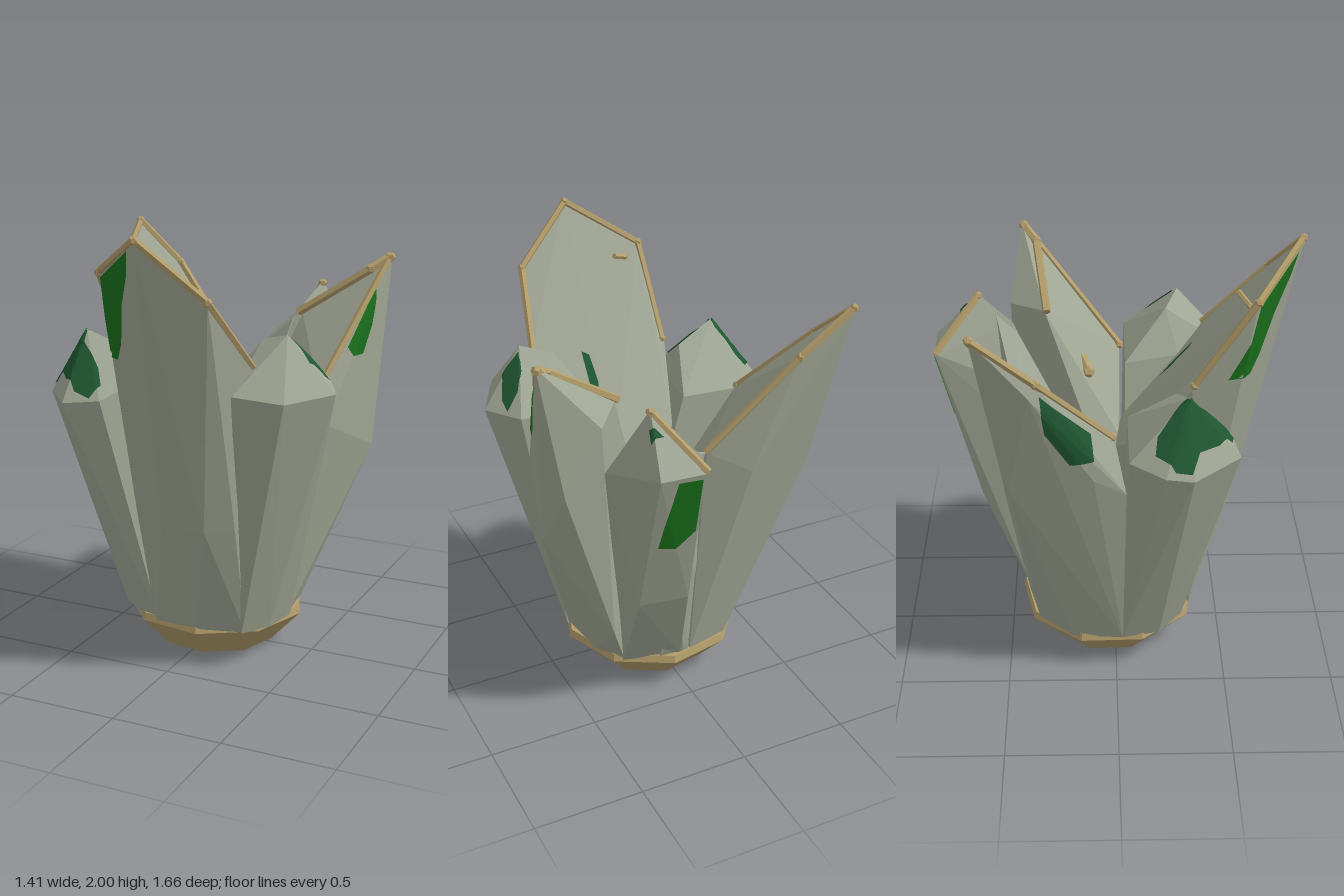
import * as THREE from 'three';
import { ConvexGeometry } from 'three/addons/geometries/ConvexGeometry.js';

const paint = (name, color, side = THREE.FrontSide) => {
  const m = new THREE.MeshStandardMaterial({ color, side });
  m.name = name;
  return m;
};
const V = (p) => new THREE.Vector3(...p);

export function createModel() {
  const stone = paint('stoneGrey', 0xa0a694);
  const trim = paint('trimTan', 0xb29c6a);
  const moss = paint('mossGreen', 0x1a701c, THREE.DoubleSide);
  const darkMoss = paint('darkMossGreen', 0x1f5730, THREE.DoubleSide);
  const group = new THREE.Group();

  const add = (name, geometry, material) => {
    const mesh = new THREE.Mesh(geometry, material);
    mesh.name = name;
    group.add(mesh);
    return mesh;
  };
  const facet = (g) => {
    const flat = g.toNonIndexed();
    flat.computeVertexNormals();
    return flat;
  };
  const lathe = (profile) => facet(new THREE.LatheGeometry(profile.map((p) => new THREE.Vector2(...p)), 9, 0.2));

  // Convex crystal, left open where it faces down into the hollow base
  const crystal = (name, points) => {
    const pos = new ConvexGeometry(points.map(V)).getAttribute('position');
    const out = [], tri = new THREE.Triangle(), n = new THREE.Vector3(), mid = new THREE.Vector3();
    for (let i = 0; i < pos.count; i += 3) {
      tri.setFromAttributeAndIndices(pos, i, i + 1, i + 2);
      tri.getNormal(n);
      tri.getMidpoint(mid);
      const underside = n.y < -0.3 && n.x * mid.x + n.z * mid.z < 0;
      if (!underside) [tri.a, tri.b, tri.c].forEach((p) => out.push(p.x, p.y, p.z));
    }
    const g = new THREE.BufferGeometry();
    g.setAttribute('position', new THREE.Float32BufferAttribute(out, 3));
    g.computeVertexNormals();
    return add(name, g, stone);
  };

  // Five-sided bars along a rim, with a knot at each inner joint
  const rim = (name, points, r = 0.017) => {
    points.map(V).forEach((b, i, all) => {
      if (i === 0) return;
      const a = all[i - 1], d = b.clone().sub(a);
      const bar = add(name, facet(new THREE.CylinderGeometry(r, r, d.length() + r, 5)), trim);
      bar.position.copy(a).addScaledVector(d, 0.5);
      bar.quaternion.setFromUnitVectors(new THREE.Vector3(0, 1, 0), d.normalize());
      const knot = add(name + 'Knot', new THREE.DodecahedronGeometry(r * 1.2), trim);
      knot.position.copy(a);
    });
  };

  // Thin painted patch: an outline dropped onto a crystal along a direction
  const patch = (name, target, material, direction, outline) => {
    const dir = V(direction), pts = outline.map(V), rings = 18;
    const centre = pts.reduce((s, p) => s.add(p), new THREE.Vector3()).divideScalar(pts.length);
    const caster = new THREE.Raycaster();
    const drop = (p) => {
      caster.set(p.clone().addScaledVector(dir, -3), dir);
      const hit = caster.intersectObject(target)[0];
      return hit && hit.point.addScaledVector(hit.face.normal, 0.006);
    };
    const edge = pts.flatMap((p, i) =>
      [0, 0.25, 0.5, 0.75].map((t) => p.clone().lerp(pts[(i + 1) % pts.length], t)));
    const grid = [];
    for (let k = 0; k <= rings; k++) grid.push(edge.map((p) => drop(centre.clone().lerp(p, k / rings))));
    const out = [];
    const tri = (...t) => t.every(Boolean) && t.forEach((p) => out.push(p.x, p.y, p.z));
    for (let k = 0; k < rings; k++) {
      edge.forEach((_, i) => {
        const j = (i + 1) % edge.length;
        tri(grid[k][i], grid[k + 1][i], grid[k + 1][j]);
        if (k) tri(grid[k][i], grid[k + 1][j], grid[k][j]);
      });
    }
    const g = new THREE.BufferGeometry();
    g.setAttribute('position', new THREE.Float32BufferAttribute(out, 3));
    g.computeVertexNormals();
    add(name, g, material);
  };

  // Collar: open ring, and the hollow core that closes the gaps between the crystals
  const collar = lathe([[0.25, 0], [0.28, 0], [0.42, 0.15], [0.41, 0.185], [0.37, 0.185], [0.25, 0]]);
  add('collar', collar, trim).position.z = -0.03;
  add('core', lathe([[0.31, 0.17], [0.35, 0.7], [0, 0.72]]), stone).position.z = -0.03;

  // Front petal
  const frontPetal = crystal('frontPetal', [
    [0.03, 1.99, 0.82], [-0.25, 1.81, 0.6], [-0.26, 1.4, 0.33], [0.3, 1.74, 0.7], [0.38, 1.43, 0.42],
    [0.31, 1.43, 0.58], [-0.22, 1.4, 0.5], [0, 0.7, 0.54], [0.2, 0.7, 0.53], [-0.17, 0.7, 0.44],
    [0.31, 0.7, 0.45], [-0.13, 0.17, 0.35], [0.08, 0.17, 0.37], [0.3, 0.17, 0.31],
    [-0.18, 1.1, 0.08], [0.14, 1.05, 0.03], [-0.02, 0.98, 0], [0, 0.75, 0.02],
  ]);
  rim('frontRim', [[-0.25, 1.42, 0.34], [-0.25, 1.81, 0.6], [0.03, 1.985, 0.81], [0.3, 1.74, 0.7], [0.37, 1.43, 0.42]]);
  rim('frontTwig', [[-0.17, 1.76, 0.57], [-0.1, 1.79, 0.53]], 0.013);
  patch('frontMoss', frontPetal, moss, [0, 0, -1], [
    [-0.235, 1.79, 0], [-0.01, 1.94, 0], [-0.03, 1.84, 0], [-0.09, 1.7, 0], [-0.13, 1.52, 0],
    [-0.17, 1.44, 0], [-0.235, 1.44, 0],
  ]);
  patch('innerMoss', frontPetal, darkMoss, [0, -1, 0], [
    [0.12, 0, 0.25], [0.14, 0, 0.21], [0.16, 0, 0.26], [0.155, 0, 0.36], [0.125, 0, 0.34],
  ]);

  // Closed crystals on either side of the front petal
  const leftCrystal = crystal('leftCrystal', [
    [0.48, 1.55, 0.3], [0.34, 1.51, 0.24], [0.58, 1.32, 0.05], [0.68, 1.3, 0.24], [0.55, 1.3, 0.5],
    [0.33, 1.32, 0.54], [0.24, 1.32, 0.3], [0.2, 1.3, 0.05], [0.4, 0.17, 0.03], [0.37, 0.17, 0.2],
    [0.29, 0.17, 0.33], [0.08, 0.7, 0.05],
  ]);
  patch('leftCrystalMoss', leftCrystal, darkMoss, [0, -1, 0], [
    [0.49, 0, 0.28], [0.51, 0, 0.21], [0.55, 0, 0.15], [0.61, 0, 0.13], [0.61, 0, 0.19], [0.57, 0, 0.28],
  ]);
  const rightCrystal = crystal('rightCrystal', [
    [-0.49, 1.49, 0.3], [-0.3, 1.41, 0.26], [-0.58, 1.23, 0.05], [-0.68, 1.21, 0.2], [-0.67, 1.19, 0.32],
    [-0.49, 1.2, 0.53], [-0.32, 1.22, 0.5], [-0.23, 1.28, 0.34], [-0.22, 1.25, 0.05],
    [-0.4, 0.17, 0.03], [-0.36, 0.17, 0.2], [-0.22, 0.17, 0.31], [-0.12, 0.17, 0.34], [-0.06, 0.7, 0.04],
  ]);
  patch('rightCrystalMoss', rightCrystal, darkMoss, [0, -1, 0], [
    [-0.655, 0, 0.31], [-0.66, 0, 0.24], [-0.6, 0, 0.16], [-0.55, 0, 0.17], [-0.49, 0, 0.27], [-0.48, 0, 0.34],
    [-0.38, 0, 0.4], [-0.34, 0, 0.45], [-0.37, 0, 0.5], [-0.45, 0, 0.49], [-0.52, 0, 0.43], [-0.59, 0, 0.34],
  ]);

  // Left petal
  const leftPetal = crystal('leftPetal', [
    [0.69, 1.81, -0.43], [0.52, 1.24, 0.03], [0.3, 1.52, -0.32], [0.43, 1.5, -0.48], [0.655, 1.35, -0.33],
    [0.56, 1.1, 0.03], [0.6, 1.2, -0.48], [0.65, 0.93, -0.33], [0.38, 0.44, -0.47], [0.47, 0.43, -0.12],
    [0.39, 0.17, 0.04], [0.36, 0.17, -0.2], [0.27, 0.17, -0.33], [0.15, 0.95, 0.02], [0.02, 0.72, -0.02],
  ]);
  rim('leftRim', [[0.51, 1.24, 0.03], [0.68, 1.79, -0.42]]);
  rim('leftBackRim', [[0.68, 1.79, -0.42], [0.61, 1.74, -0.36], [0.29, 1.53, -0.31]], 0.02);
  rim('innerPeg', [[0.25, 1.23, -0.12], [0.34, 1.3, -0.17]], 0.025);
  patch('leftPetalMoss', leftPetal, moss, [-1, 0, 0], [
    [0, 1.67, -0.32], [0, 1.42, -0.135], [0, 1.38, -0.15], [0, 1.38, -0.22], [0, 1.5, -0.28],
  ]);

  // Right petal
  const rightPetal = crystal('rightPetal', [
    [-0.69, 1.87, -0.59], [-0.45, 1.67, -0.56], [-0.08, 1.24, -0.44], [-0.66, 1.65, -0.33], [-0.69, 1.6, -0.36],
    [-0.46, 1.28, -0.01], [-0.54, 1.05, 0.04], [-0.58, 1.1, -0.46], [-0.59, 1.15, -0.1], [-0.26, 1.15, -0.53],
    [-0.4, 0.17, 0.03], [-0.38, 0.17, -0.2], [-0.23, 0.17, -0.36], [-0.03, 0.17, -0.41], [-0.02, 0.72, -0.02],
  ]);
  rim('rightRim', [[-0.46, 1.29, -0.02], [-0.66, 1.65, -0.33], [-0.685, 1.86, -0.585], [-0.45, 1.67, -0.56], [-0.08, 1.25, -0.44]]);
  patch('rightPetalMoss', rightPetal, darkMoss, [1, 0, 0], [
    [0, 1.6, -0.32], [0, 1.36, -0.115], [0, 1.25, -0.1], [0, 1.25, -0.2], [0, 1.42, -0.3],
  ]);

  // Back crystal
  const backCrystal = crystal('backCrystal', [
    [0.28, 1.62, -0.62], [0.13, 1.39, -0.82], [0.33, 1.4, -0.82], [0.43, 1.3, -0.5], [0.1, 1.25, -0.47],
    [0.22, 1.5, -0.46], [0.36, 1.2, -0.38], [0.1, 0.66, -0.63], [0.32, 0.66, -0.6], [0.02, 0.17, -0.41],
    [0.28, 0.17, -0.34], [0.02, 0.7, -0.1],
  ]);
  rim('backRim', [[0.28, 1.61, -0.62], [0.12, 1.4, -0.81]]);
  patch('backMoss', backCrystal, moss, [0, 0, 1], [
    [0.14, 1.37, 0], [0.25, 1.38, 0], [0.28, 1.15, 0], [0.29, 1.02, 0], [0.21, 1, 0], [0.13, 1.08, 0],
  ]);
  patch('backTopMoss', backCrystal, darkMoss, [0, -1, 0], [[0.26, 0, -0.7], [0.31, 0, -0.7], [0.3, 0, -0.66]]);

  // Shards that close the gap between the back crystal and the right petal
  crystal('innerShard', [
    [-0.09, 1.23, -0.42], [0, 1.24, -0.38], [0.12, 1.22, -0.47], [-0.02, 0.17, -0.41],
    [0.1, 0.17, -0.4], [-0.09, 0.92, -0.08], [0, 0.92, -0.08],
  ]);
  crystal('backShard', [
    [0.24, 1.54, -0.54], [0.2, 1.46, -0.44], [-0.06, 1.23, -0.44], [0, 1.23, -0.4], [0.12, 0.7, -0.56],
    [-0.02, 0.7, -0.48], [0, 0.17, -0.41], [0.12, 0.17, -0.4], [0.1, 0.9, -0.15],
  ]);

  return group;
}
